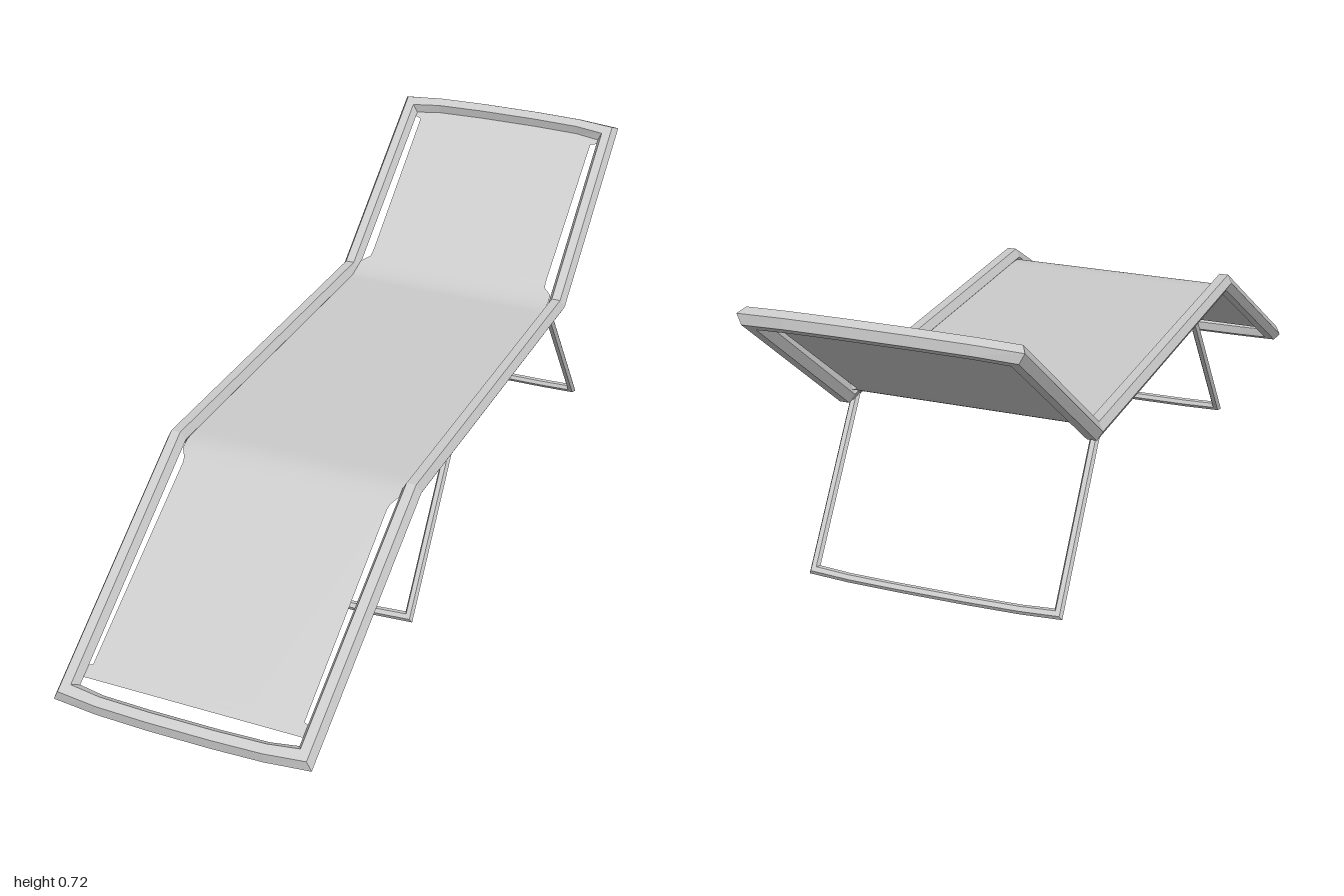
import * as THREE from 'three';

const V = (x, y, z) => new THREE.Vector3(x, y, z);
const frameMat = new THREE.MeshStandardMaterial({ color: 0xcccccc, flatShading: true, side: THREE.DoubleSide });
const clothMat = new THREE.MeshStandardMaterial({ color: 0xcccccc, side: THREE.DoubleSide });

// Hexagonal tube along stations { p: centre, s: outward axis, u: upward axis }
function hexTube(stations, r, closed) {
  const pos = [], idx = [], n = stations.length;
  for (const { p, s, u } of stations) {
    for (let k = 0; k < 6; k++) {
      const a = k * Math.PI / 3;
      const v = p.clone().addScaledVector(s, r * Math.cos(a)).addScaledVector(u, r * Math.sin(a));
      pos.push(v.x, v.y, v.z);
    }
  }
  for (let i = 0; i < (closed ? n : n - 1); i++) {
    for (let k = 0; k < 6; k++) {
      const a = i * 6 + k, b = i * 6 + (k + 1) % 6;
      const c = ((i + 1) % n) * 6 + k, d = ((i + 1) % n) * 6 + (k + 1) % 6;
      idx.push(a, b, c, b, d, c);
    }
  }
  if (!closed) {
    const e = (n - 1) * 6;
    for (let k = 1; k < 5; k++) idx.push(0, k + 1, k, e, e + k, e + k + 1);
  }
  const g = new THREE.BufferGeometry();
  g.setAttribute('position', new THREE.Float32BufferAttribute(pos, 3));
  g.setIndex(idx);
  g.computeVertexNormals();
  return g;
}

// Slightly bowed cross bar from corner to corner; side = sign of the starting x
function bowedEnd(corner, dir, side, halfWidth, bow) {
  const x = V(side, 0, 0), u = dir.clone().cross(x);
  return [1, 0.7, 0.27, -0.27, -0.7, -1].map((f) => {
    const isCorner = Math.abs(f) === 1;
    const out = isCorner ? 0 : Math.abs(f) > 0.5 ? bow * 0.75 : bow;
    const p = corner.clone().addScaledVector(dir, out);
    p.x = side * f * halfWidth;
    const s = dir.clone();
    if (isCorner) s.addScaledVector(x, f);
    return { p, s, u };
  });
}

// U-shaped leg running from the rails down to a floor bar
function legGeometry(top, foot, halfWidth) {
  const dir = foot.clone().sub(top).normalize();
  const u = dir.clone().cross(V(1, 0, 0));
  const start = (sx) => ({ p: V(sx * halfWidth, top.y, top.z), s: V(sx, 0, 0), u });
  return hexTube([start(1), ...bowedEnd(foot, dir, 1, halfWidth, 0.006), start(-1)], 0.0105, false);
}

export function createModel() {
  const group = new THREE.Group();
  const add = (name, geometry, material) => {
    const m = new THREE.Mesh(geometry, material);
    m.name = name;
    group.add(m);
  };

  // Frame: sloping foot end, level seat, raised back
  const footBend = V(0, 0.368, 0.425), footEnd = V(0, 0.031, 0.975);
  const backBend = V(0, 0.368, -0.565), backEnd = V(0, 0.692, -0.974);
  const footDir = footEnd.clone().sub(footBend).normalize();
  const backDir = backEnd.clone().sub(backBend).normalize();
  const bend = (at, n, sx) => {
    const up = V(0, 1, 0);
    const u = n.clone().add(up).divideScalar(1 + n.dot(up));
    return { p: V(sx * 0.291, at.y, at.z), s: V(sx, 0, 0), u };
  };
  const footN = footDir.clone().cross(V(1, 0, 0)), backN = backDir.clone().cross(V(-1, 0, 0));
  add('frame', hexTube([
    bend(backBend, backN, 1), bend(footBend, footN, 1),
    ...bowedEnd(footEnd, footDir, 1, 0.283, 0.012),
    bend(footBend, footN, -1), bend(backBend, backN, -1),
    ...bowedEnd(backEnd, backDir, -1, 0.283, 0.012),
  ], 0.0225, true), frameMat);

  // Fabric sling: rows of [z, y, half width], rounded at the bends, flared at the ties
  const rows = [
    [0.94, 0.053, 0.275], [0.918, 0.066, 0.272], [0.912, 0.07, 0.252],
    [0.475, 0.337, 0.252], [0.462, 0.345, 0.255], [0.442, 0.355, 0.268], [0.42, 0.363, 0.27],
    [0.395, 0.366, 0.27], [0.37, 0.367, 0.27],
    [-0.51, 0.367, 0.27], [-0.535, 0.369, 0.27], [-0.56, 0.376, 0.27],
    [-0.58, 0.386, 0.268], [-0.596, 0.397, 0.247], [-0.61, 0.407, 0.245],
    [-0.942, 0.667, 0.245], [-0.948, 0.672, 0.268], [-0.966, 0.686, 0.27],
  ];
  const cols = 4;
  const cloth = new THREE.PlaneGeometry(1, 1, cols, rows.length - 1);
  const cp = cloth.attributes.position;
  // back row first, so the sheet faces up
  rows.slice().reverse().forEach(([z, y, w], i) => {
    for (let j = 0; j <= cols; j++) cp.setXYZ(i * (cols + 1) + j, w * (2 * j / cols - 1), y, z);
  });
  cloth.computeVertexNormals();
  add('fabricSling', cloth, clothMat);

  // Legs
  add('frontLeg', legGeometry(V(0, 0.36, 0.18), V(0, 0.025, 0.42), 0.285), frameMat);
  add('backLeg', legGeometry(V(0, 0.36, -0.52), V(0, 0.025, -0.757), 0.285), frameMat);

  // Rest on the floor, centred
  const box = new THREE.Box3().setFromObject(group), c = box.getCenter(V(0, 0, 0));
  group.children.forEach((m) => m.position.set(-c.x, -box.min.y, -c.z));
  return group;
}
